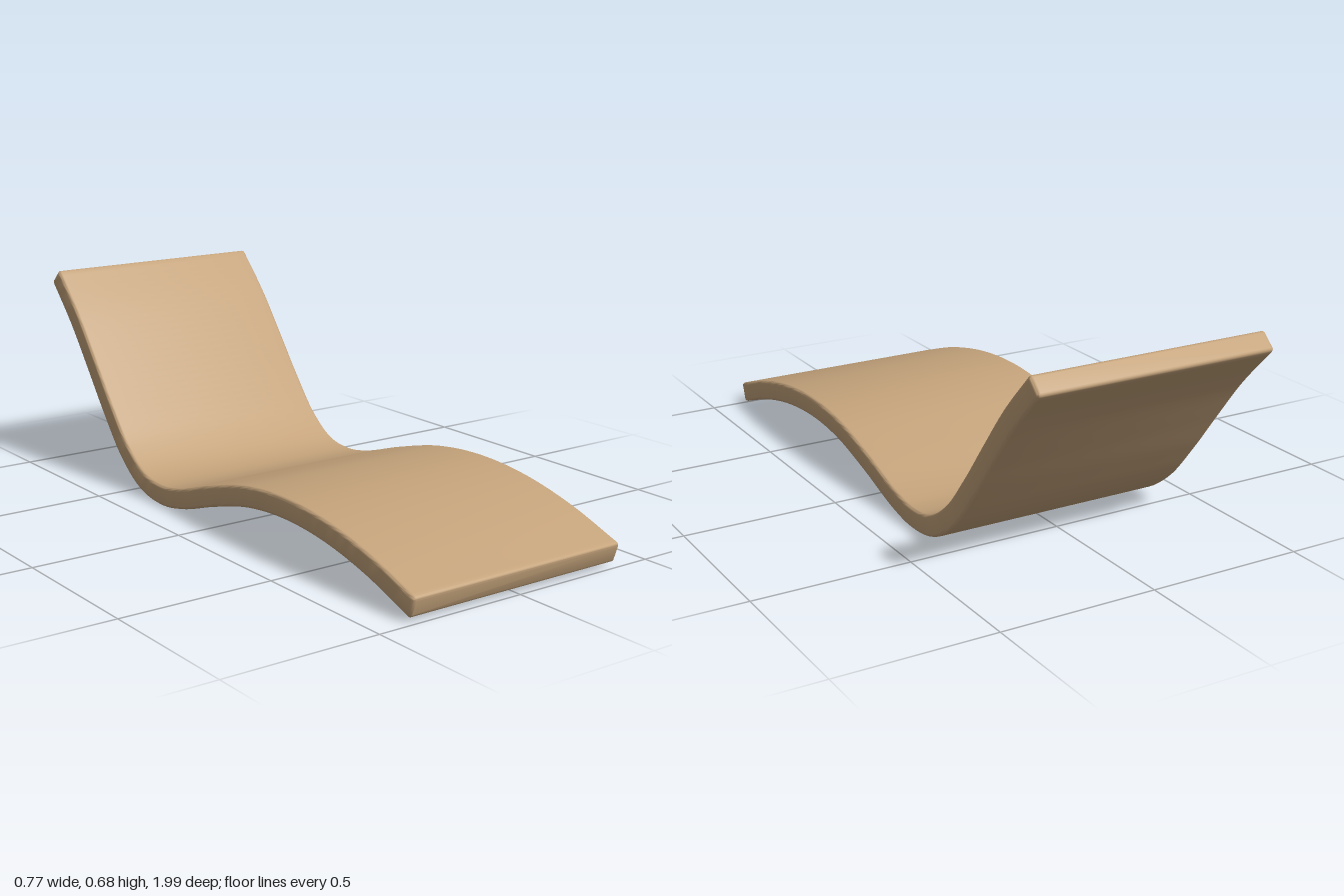
import * as THREE from 'three';
import { toCreasedNormals } from 'three/addons/utils/BufferGeometryUtils.js';

const HALF_WIDTH = 0.387, HALF_THICK = 0.034, FILLET = 0.01;

// Side profile of the lounger's centre line as [z, y], foot end to head end
const profile = [
  [0.994, 0.048], [0.79, 0.117], [0.593, 0.16], [0.396, 0.175], [0.205, 0.16],
  [0.008, 0.112], [-0.17, 0.058], [-0.29, 0.04], [-0.41, 0.058], [-0.522, 0.131],
  [-0.632, 0.257], [-0.739, 0.397], [-0.845, 0.532], [-0.972, 0.667],
];

// Rounded rectangle section, counter-clockwise, pulled in by inset
function section(inset) {
  const r = Math.max(FILLET - inset, 0.001);
  const w = HALF_WIDTH - inset - r, h = HALF_THICK - inset - r;
  const points = [];
  [[1, 1], [-1, 1], [-1, -1], [1, -1]].forEach(([sx, sy], corner) => {
    for (let k = 0; k <= 3; k++) {
      const a = (corner + k / 3) * Math.PI / 2;
      points.push([sx * w + r * Math.cos(a), sy * h + r * Math.sin(a)]);
    }
  });
  return points;
}

function sweepSlab() {
  const curve = new THREE.CatmullRomCurve3(profile.map(([z, y]) => new THREE.Vector3(0, y, z)));
  const length = curve.getLength();

  // Stations along the curve, with rounded ends
  const ends = [0, 1, 2, 3].map(k => {
    const a = k / 3 * Math.PI / 2;
    return { u: FILLET * (1 - Math.cos(a)) / length, inset: FILLET * (1 - Math.sin(a)) };
  });
  const stations = [...ends];
  for (let i = 1; i < 90; i++) stations.push({ u: i / 90, inset: 0 });
  [...ends].reverse().forEach(e => stations.push({ u: 1 - e.u, inset: e.inset }));

  const positions = [], index = [];
  const n = section(0).length;
  for (const { u, inset } of stations) {
    const p = curve.getPointAt(u), t = curve.getTangentAt(u);
    for (const [x, d] of section(inset)) positions.push(x, p.y - t.z * d, p.z + t.y * d);
  }
  const last = (stations.length - 1) * n;
  for (let s = 0; s < last; s += n) {
    for (let i = 0; i < n; i++) {
      const j = (i + 1) % n;
      index.push(s + i, s + n + i, s + n + j, s + i, s + n + j, s + j);
    }
  }
  // Flat end faces
  for (let i = 1; i < n - 1; i++) {
    index.push(0, i, i + 1, last, last + i + 1, last + i);
  }

  const geometry = new THREE.BufferGeometry();
  geometry.setAttribute('position', new THREE.Float32BufferAttribute(positions, 3));
  geometry.setIndex(index);
  geometry.computeBoundingBox();
  geometry.translate(0, -geometry.boundingBox.min.y, 0);
  return toCreasedNormals(geometry, 0.7);
}

export function createModel() {
  const wood = new THREE.MeshStandardMaterial({ color: 0xc4a37b });
  wood.name = 'tan';

  const slab = new THREE.Mesh(sweepSlab(), wood);
  slab.name = 'loungerSlab';

  const model = new THREE.Group();
  model.name = 'lounger';
  model.add(slab);
  return model;
}
